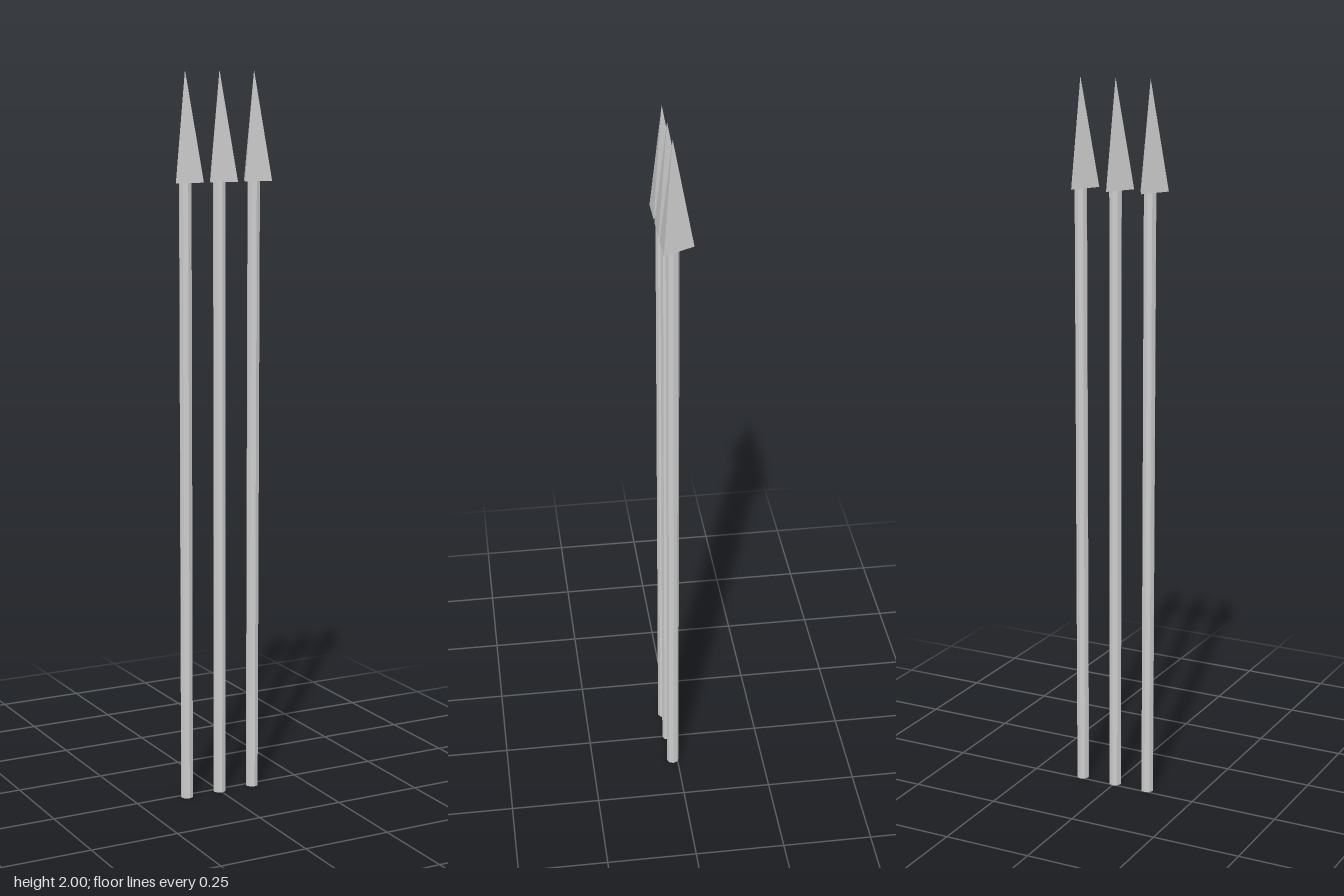
import * as THREE from 'three';

const HEAD_BASE = 1.706, TOP = 2, AXIS_Z = 0.0138;

export function createModel() {
  const model = new THREE.Group();
  model.name = 'spikes';
  const material = new THREE.MeshStandardMaterial({ color: 0xcccccc, flatShading: true });

  // eight-sided pole
  const shaftGeometry = new THREE.CylinderGeometry(0.0175, 0.0175, HEAD_BASE, 8);
  shaftGeometry.translate(0, HEAD_BASE / 2, 0);

  // three-sided point, one corner to the back, as wide as it is deep
  const headGeometry = new THREE.ConeGeometry(0.0553, TOP - HEAD_BASE, 3);
  headGeometry.rotateY(Math.PI);
  headGeometry.scale(Math.sqrt(3) / 2, 1, 1);
  headGeometry.translate(0, (HEAD_BASE + TOP) / 2, 0);

  // three identical spikes in a row
  [['right', -0.103], ['middle', -0.001], ['left', 0.103]].forEach(([side, x]) => {
    const spike = new THREE.Group();
    spike.name = side + 'Spike';
    const shaft = new THREE.Mesh(shaftGeometry, material);
    shaft.name = 'shaft';
    const head = new THREE.Mesh(headGeometry, material);
    head.name = 'spearhead';
    spike.add(shaft, head);
    spike.position.set(x, 0, AXIS_Z);
    model.add(spike);
  });

  return model;
}
